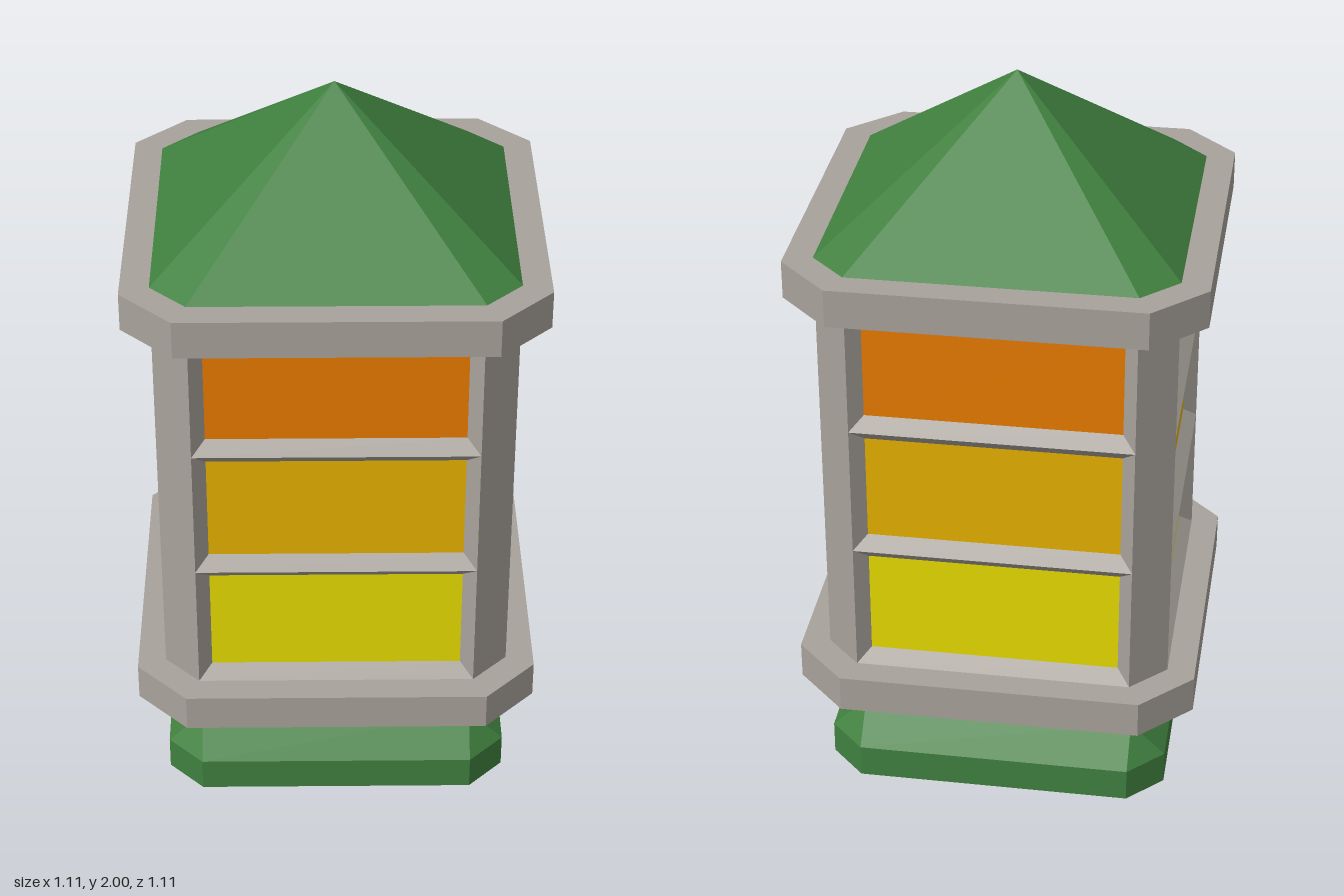
import * as THREE from 'three';

const mat = (name, color) => {
  const m = new THREE.MeshStandardMaterial({ color, side: THREE.DoubleSide });
  m.name = name;
  return m;
};

// Flat-shaded mesh from quads [a, b, c, d]; collapsed triangles are dropped
function quadMesh(name, quads, material) {
  const pos = [];
  const tri = new THREE.Triangle();
  for (const [a, b, c, d] of quads) {
    for (const t of [[a, b, c], [a, c, d]]) {
      tri.set(...t.map((p) => new THREE.Vector3(...p)));
      if (tri.getArea() > 1e-8) pos.push(...t.flat());
    }
  }
  const g = new THREE.BufferGeometry();
  g.setAttribute('position', new THREE.Float32BufferAttribute(pos, 3));
  g.computeVertexNormals();
  const mesh = new THREE.Mesh(g, material);
  mesh.name = name;
  return mesh;
}

// Square section with cut corners: half width w, corner starts at c
const section = ([y, w, c]) => [
  [-c, y, w], [c, y, w], [w, y, c], [w, y, -c],
  [c, y, -w], [-c, y, -w], [-w, y, -c], [-w, y, c],
];

// Open shell through a list of sections [y, w, c]
function loft(name, levels, material) {
  const quads = [];
  for (let k = 0; k + 1 < levels.length; k++) {
    const lo = section(levels[k]);
    const hi = section(levels[k + 1]);
    for (let i = 0; i < 8; i++) {
      const j = (i + 1) % 8;
      quads.push([lo[i], lo[j], hi[j], hi[i]]);
    }
  }
  return quadMesh(name, quads, material);
}

export function createModel() {
  const green = mat('green', 0x40803f);
  const stone = mat('stone grey', 0xa8a29b);
  const yellow = mat('yellow', 0xe8dc00);
  const amber = mat('amber', 0xe6b000);
  const orange = mat('orange', 0xe87a00);

  const W = 0.478, C = 0.381;   // body section
  const RW = 0.555, RC = 0.415; // collar section
  const INSET = 0.036;          // panel recess and bevel width

  const model = new THREE.Group();
  model.name = 'lantern';

  // Base pinched to a square waist
  model.add(loft('base', [
    [0, W, C], [0.095, W, C], [0.19, C, C], [0.287, W, C],
  ], green));

  // Collars below and above the body
  const collar = (name, y0, y1) => loft(name, [
    [y0, W, C], [y0, RW, RC], [y1, RW, RC], [y1, W, C],
  ], stone);
  model.add(collar('lowerCollar', 0.287, 0.392));
  model.add(collar('upperCollar', 1.502, 1.607));

  // Pyramid roof
  model.add(loft('roof', [[1.607, W, C], [2, 0, 0]], green));

  // Each side: corner post plus three recessed panels with bevelled frames
  const rows = [
    ['lowerPanel', 0.392, 0.768, yellow],
    ['middlePanel', 0.768, 1.144, amber],
    ['upperPanel', 1.144, 1.502, orange],
  ];
  const rect = (x, y0, y1, z) => [[-x, y0, z], [x, y0, z], [x, y1, z], [-x, y1, z]];
  for (let s = 0; s < 4; s++) {
    const side = new THREE.Group();
    side.name = 'side';
    side.rotation.y = (s * Math.PI) / 2;

    side.add(quadMesh('cornerPost', [[
      [C, 0.392, W], [W, 0.392, C], [W, 1.502, C], [C, 1.502, W],
    ]], stone));

    for (const [name, y0, y1, material] of rows) {
      const outer = rect(C, y0, y1, W);
      const inner = rect(C - INSET, y0 + INSET, y1 - INSET, W - INSET);
      const bevels = outer.map((p, i) => {
        const j = (i + 1) % 4;
        return [p, outer[j], inner[j], inner[i]];
      });
      side.add(quadMesh('panelFrame', bevels, stone));
      side.add(quadMesh(name, [inner], material));
    }
    model.add(side);
  }
  return model;
}
